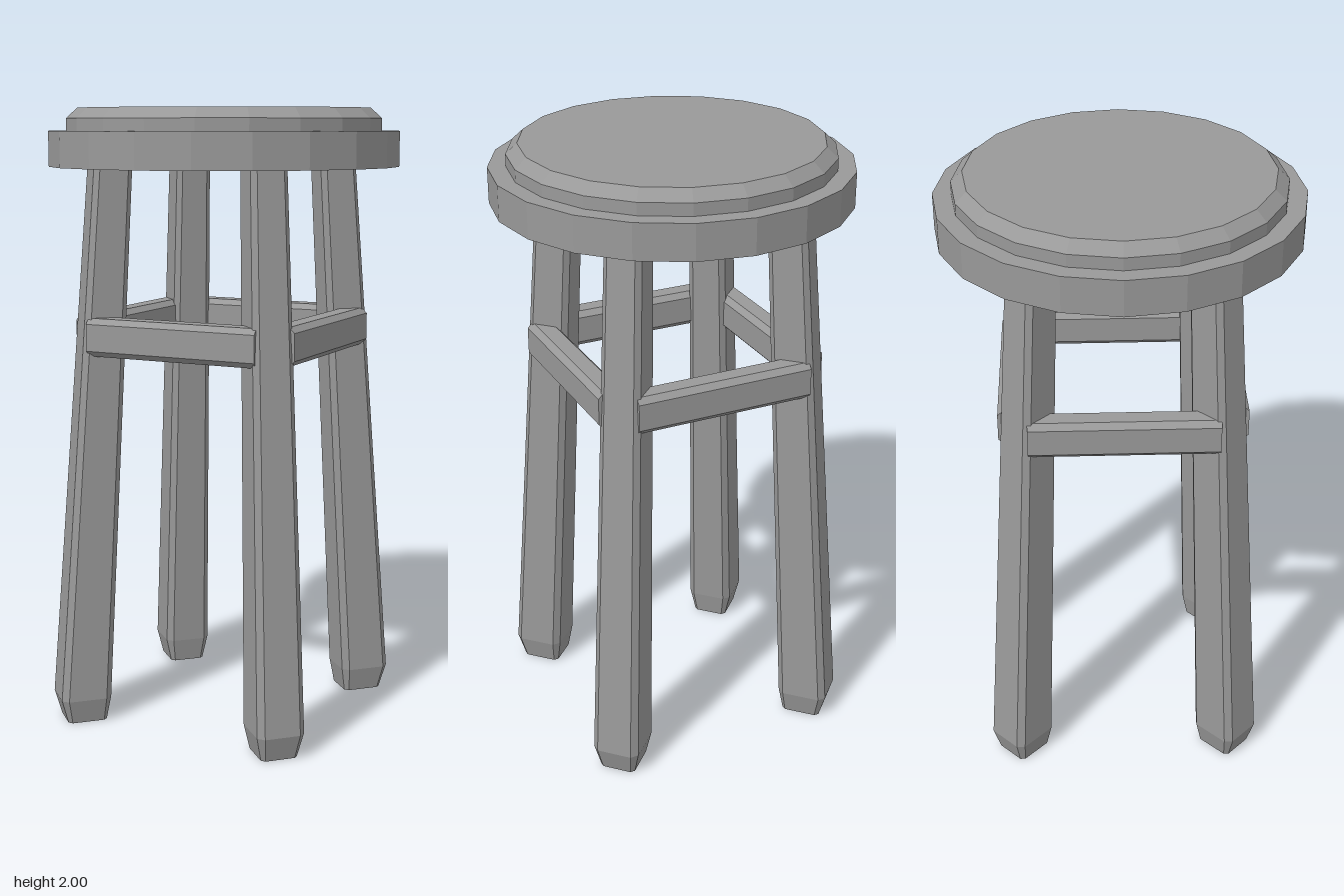
import * as THREE from 'three';

const grey = new THREE.MeshStandardMaterial({ color: 0x999999, flatShading: true });
grey.name = 'grey';

// Chamfered rectangle, eight corners
function octagon(hw, hd, c) {
  return [
    [hw, hd - c], [hw - c, hd], [c - hw, hd], [-hw, hd - c],
    [-hw, c - hd], [c - hw, -hd], [hw - c, -hd], [hw, c - hd],
  ];
}

// Stack of octagons: each section is { y, z, hw, hd, c }, listed bottom to top
function loft(sections) {
  const pos = [], idx = [], n = 8;
  sections.forEach(({ y, z, hw, hd, c }) =>
    octagon(hw, hd, c).forEach(([px, pz]) => pos.push(px, y, z + pz)));
  for (let s = 0; s < sections.length - 1; s++) {
    for (let i = 0; i < n; i++) {
      const a = s * n + i, b = s * n + (i + 1) % n;
      idx.push(a, a + n, b, b, a + n, b + n);
    }
  }
  const top = (sections.length - 1) * n;
  for (let i = 1; i < n - 1; i++) {
    idx.push(0, i, i + 1);
    idx.push(top, top + i + 1, top + i);
  }
  const g = new THREE.BufferGeometry();
  g.setAttribute('position', new THREE.Float32BufferAttribute(pos, 3));
  g.setIndex(idx);
  const flat = g.toNonIndexed();
  flat.computeVertexNormals();
  return flat;
}

function add(parent, name, geometry) {
  const mesh = new THREE.Mesh(geometry, grey);
  mesh.name = name;
  parent.add(mesh);
  return mesh;
}

export function createModel() {
  const stool = new THREE.Group();
  stool.name = 'stool';

  // Round seat: wide rim, raised disc and bevelled top
  const disc = (name, rTop, rBottom, y0, y1) => {
    add(stool, name, new THREE.CylinderGeometry(rTop, rBottom, y1 - y0, 20)).position.y = (y0 + y1) / 2;
  };
  disc('seatRim', 0.565, 0.565, 1.815, 1.928);
  disc('seatPad', 0.508, 0.508, 1.92, 1.967);
  disc('seatBevel', 0.472, 0.508, 1.967, 2);

  // Splayed leg with a tapered foot
  const legGeometry = loft([
    { y: 0, z: 0.493, hw: 0.06, hd: 0.065, c: 0.012 },
    { y: 0.08, z: 0.4975, hw: 0.078, hd: 0.083, c: 0.02 },
    { y: 1.82, z: 0.381, hw: 0.059, hd: 0.062, c: 0.016 },
  ]);

  // Bevelled rail between neighbouring legs, set to their outer corners
  const railGeometry = loft([
    { y: -0.295, z: 0, hw: 0.061, hd: 0.045, c: 0.018 },
    { y: 0.295, z: 0, hw: 0.061, hd: 0.045, c: 0.018 },
  ]).rotateZ(Math.PI / 2);

  // Four quarters, turned slightly from the axes
  for (let k = 0; k < 4; k++) {
    const quarter = new THREE.Group();
    quarter.name = 'legAndRail' + (k + 1);
    quarter.rotation.y = THREE.MathUtils.degToRad(10 + 90 * k);
    add(quarter, 'leg', legGeometry);
    const railPivot = new THREE.Group();
    railPivot.name = 'railPivot';
    railPivot.rotation.y = Math.PI / 4;
    add(railPivot, 'rail', railGeometry).position.set(0, 1.283, 0.342);
    quarter.add(railPivot);
    stool.add(quarter);
  }
  return stool;
}
